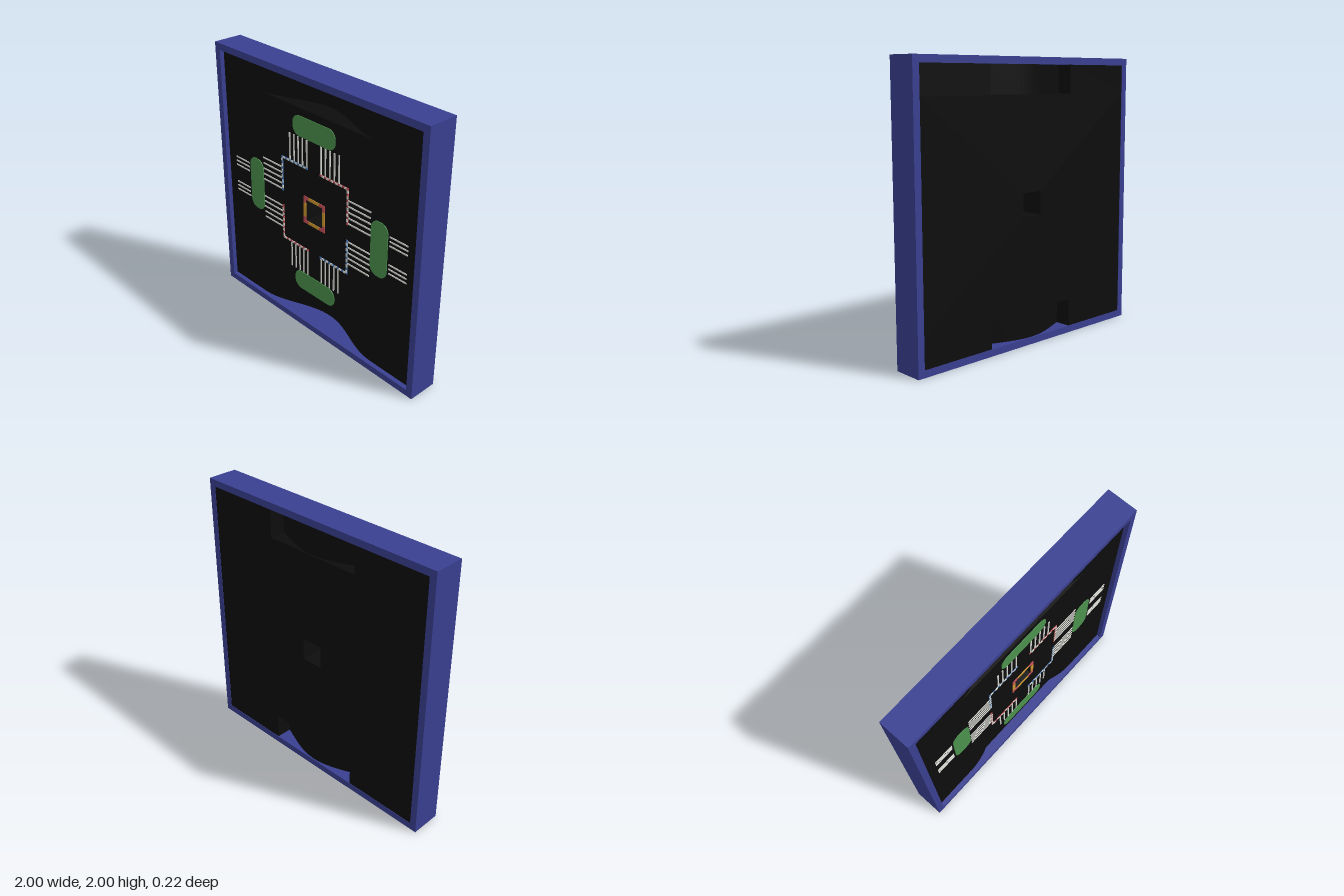
import * as THREE from 'three';

const mat = (name, color) => new THREE.MeshStandardMaterial({ name, color });

function rectPath(P, x, y, w, h) {
  const p = new P();
  p.moveTo(x - w / 2, y - h / 2);
  p.lineTo(x + w / 2, y - h / 2);
  p.lineTo(x + w / 2, y + h / 2);
  p.lineTo(x - w / 2, y + h / 2);
  p.closePath();
  return p;
}

function pillShape(w, h, r) {
  const s = new THREE.Shape(), a = w / 2 - r, b = h / 2 - r;
  s.absarc(a, b, r, 0, Math.PI / 2);
  s.absarc(-a, b, r, Math.PI / 2, Math.PI);
  s.absarc(-a, -b, r, Math.PI, Math.PI * 1.5);
  s.absarc(a, -b, r, Math.PI * 1.5, Math.PI * 2);
  s.closePath();
  return s;
}

export function createModel() {
  const model = new THREE.Group();
  model.name = 'circuitPanel';
  const blue = mat('frameBlue', 0x3a4092), black = mat('panelBlack', 0x0d0d0d),
    green = mat('padGreen', 0x4c924e), pale = mat('traceGrey', 0xd6d6d0),
    orange = mat('rimOrange', 0xd0982c), red = mat('accentRed', 0xc65056),
    sky = mat('accentBlue', 0x4a7cbe);

  const Z = 0.112, FACE = 0.078, BACK = -0.109, INNER = 0.95, T = 0.005;

  const add = (name, geo, material, x = 0, y = 0, z = 0, parent = model) => {
    const m = new THREE.Mesh(geo, material);
    m.name = name;
    m.position.set(x, y, z);
    parent.add(m);
    return m;
  };
  const extrude = (shape, depth) =>
    new THREE.ExtrudeGeometry(shape, { depth, bevelEnabled: false, curveSegments: 8 });
  // thin painted plate on the panel face
  const plate = (name, material, x, y, w, h, parent, t = T) =>
    add(name, new THREE.BoxGeometry(w, h, t), material, x, y, FACE + t / 2, parent);
  const group = (name) => {
    const g = new THREE.Group();
    g.name = name;
    model.add(g);
    return g;
  };

  // outer frame
  const frame = rectPath(THREE.Shape, 0, 1, 2, 2);
  frame.holes.push(rectPath(THREE.Path, 0, 1, INNER * 2, INNER * 2));
  add('frame', extrude(frame, Z * 2), blue, 0, 0, -Z);

  // main panel with the square hole through it
  const panel = rectPath(THREE.Shape, 0, 1, INNER * 2, 1.5);
  panel.holes.push(rectPath(THREE.Path, 0, 1, 0.166, 0.166));
  add('panel', extrude(panel, FACE - BACK), black, 0, 0, BACK);

  // top and bottom strips: bell-shaped dent in front, notch behind
  const bell = (x) => FACE - (Math.abs(x) < 0.58 ? 0.075 * (1 + Math.cos(Math.PI * x / 0.58)) : 0);
  const strip = new THREE.Shape();
  strip.moveTo(-INNER, -BACK);
  strip.lineTo(-INNER, -FACE);
  for (let i = 0; i <= 32; i++) {
    const x = -0.58 + 1.16 * i / 32;
    strip.lineTo(x, -bell(x));
  }
  strip.lineTo(INNER, -FACE);
  strip.lineTo(INNER, -BACK);
  strip.lineTo(0.38, -BACK);
  for (let i = 0; i <= 24; i++) {
    const x = 0.38 - 0.76 * i / 24;
    strip.lineTo(x, -(bell(x) - 0.03));
  }
  strip.lineTo(-0.38, -BACK);
  strip.closePath();
  const stripGeo = extrude(strip, 0.2);
  stripGeo.rotateX(-Math.PI / 2);
  add('bottomStrip', stripGeo, black, 0, 0.05, 0);
  add('topStrip', stripGeo, black, 0, 1.75, 0);

  // coloured rim round the hole: red corners, orange middles
  const rim = group('holeRim');
  for (const s of [-1, 1]) {
    plate('rimMiddle', orange, 0, 1 + s * 0.095, 0.11, 0.024, rim);
    plate('rimMiddle', orange, s * 0.095, 1, 0.024, 0.11, rim);
    for (const t of [-1, 1]) {
      plate('rimCorner', red, s * 0.081, 1 + t * 0.095, 0.052, 0.024, rim);
      plate('rimCorner', red, s * 0.095, 1 + t * 0.069, 0.024, 0.028, rim);
    }
  }

  // green pads
  const wide = extrude(pillShape(0.416, 0.15, 0.065), T);
  const tall = extrude(pillShape(0.15, 0.416, 0.065), T);
  for (const s of [-1, 1]) {
    add('pad', wide, green, 0, 1 + s * 0.62, FACE);
    add('pad', tall, green, s * 0.62, 1, FACE);
  }

  // each quadrant: dashed corner bracket and traces
  for (const sx of [-1, 1]) for (const sy of [-1, 1]) {
    const traces = group('traces'), bracket = group('bracket');
    const accent = sx === sy ? red : sky;
    const px = (v) => sx * v, py = (v) => 1 + sy * v;
    const accentMat = sx * sy > 0 ? red : (accent === red ? red : sky);
    const mid = 0.197, len = 0.276, e = 0.328, w = 0.014;
    plate('bracketArm', accentMat, px(mid), py(e), len, w, bracket);
    plate('bracketArm', accentMat, px(e), py(mid), w, len, bracket);
    for (let i = 0; i < 5; i++) {
      const v = 0.071 + i * 0.0433;
      plate('trace', pale, px(v), py(0.438), 0.011, 0.205, traces);
      plate('trace', pale, px(0.438), py(v), 0.205, 0.011, traces);
    }
    for (let i = 0; i < 6; i++) {
      const v = 0.092 + i * 0.0433;
      plate('bracketDash', pale, px(v), py(e), 0.022, w, bracket, 0.007);
      plate('bracketDash', pale, px(e), py(v), w, 0.022, bracket, 0.007);
    }
    for (let i = 0; i < 3; i++)
      plate('outerTrace', pale, px(0.788), py(0.071 + i * 0.0335), 0.156, 0.01, traces);
  }
  return model;
}
